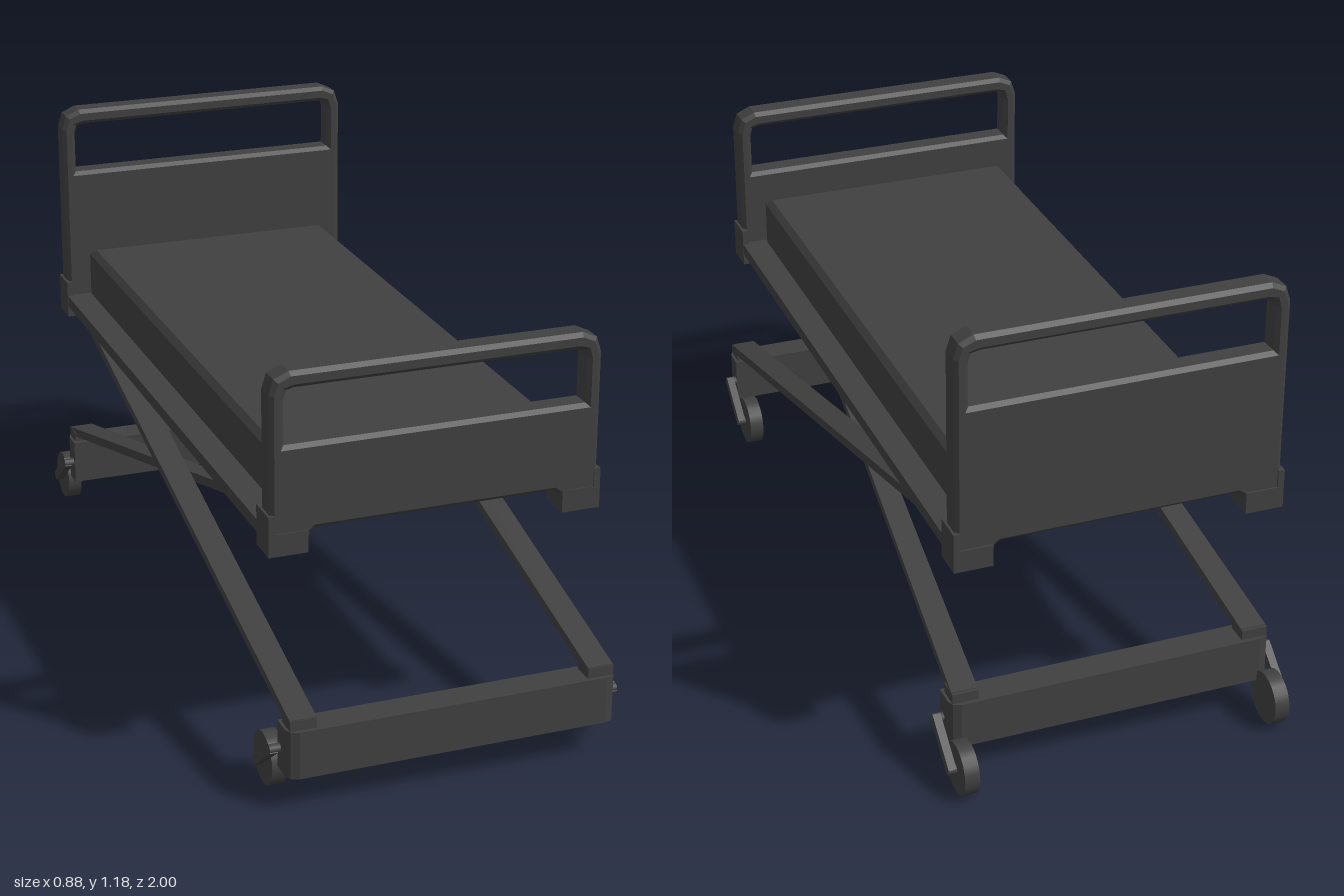
import * as THREE from 'three';

export function createModel() {
  const bed = new THREE.Group();
  bed.name = 'adjustableBed';
  const darkGrey = new THREE.MeshStandardMaterial({ color: 0x404040 });
  darkGrey.name = 'dark grey';

  const add = (name, geometry, x = 0, y = 0, z = 0) => {
    const mesh = new THREE.Mesh(geometry, darkGrey);
    mesh.name = name;
    mesh.position.set(x, y, z);
    bed.add(mesh);
    return mesh;
  };
  // Box given by its limits on each axis
  const block = (name, x0, x1, y0, y1, z0, z1) =>
    add(name, new THREE.BoxGeometry(x1 - x0, y1 - y0, z1 - z0),
      (x0 + x1) / 2, (y0 + y1) / 2, (z0 + z1) / 2);
  // Outline from its right half, mirrored to the left
  const mirrored = (half) => [...half, ...half.slice().reverse().map(([x, y]) => [-x, y])]
    .map(([x, y]) => new THREE.Vector2(x, y));
  // Extrusion with edges bevelled inside the outline
  const extrude = (shape, depth, bevel) => {
    const g = new THREE.ExtrudeGeometry(shape, {
      depth: depth - 2 * bevel, bevelEnabled: bevel > 0, bevelSize: bevel,
      bevelThickness: bevel, bevelOffset: -bevel, bevelSegments: 1,
    });
    g.translate(0, 0, bevel);
    return g;
  };

  // End boards with a handle opening and a notched bottom
  const endBoard = (name, top, z0, z1, b0, b1) => {
    const shape = new THREE.Shape(mirrored([
      [0.295, 0.645], [0.308, 0.635], [0.315, 0.59], [0.405, 0.59],
      [0.405, top - 0.053], [0.393, top - 0.016], [0.357, top],
    ]));
    shape.holes.push(new THREE.Path(mirrored([
      [0.37, top - 0.175], [0.37, top - 0.065], [0.364, top - 0.045], [0.345, top - 0.04],
    ])));
    add(name, extrude(shape, z1 - z0, 0.01), 0, 0, z0);
    // Corner brackets
    for (const s of [-1, 1]) {
      const xs = [s * 0.395, s * 0.411].sort((a, b) => a - b);
      block(name + 'SideBracket', xs[0], xs[1], 0.59, 0.69, b0, b1);
      const xf = [s * 0.315, s * 0.411].sort((a, b) => a - b);
      block(name + 'Foot', xf[0], xf[1], 0.59, 0.645, b0, b1);
    }
  };
  endBoard('footboard', 1.03, 0.795, 0.862, 0.783, 0.865);
  endBoard('headboard', 1.18, -0.905, -0.84, -0.91, -0.83);

  // Platform with side rails
  block('platform', -0.39, 0.39, 0.628, 0.65, -0.84, 0.795);
  for (const x of [-0.41, 0.385]) block('sideRail', x, x + 0.025, 0.62, 0.651, -0.835, 0.785);

  // Mattress with chamfered edges
  const plan = new THREE.Shape([[-0.345, -0.77], [0.345, -0.77], [0.345, 0.82], [-0.345, 0.82]]
    .map(([x, y]) => new THREE.Vector2(x, y)));
  add('mattress', extrude(plan, 0.145, 0.015).rotateX(-Math.PI / 2), 0, 0.64, 0);

  // Scissor arm: a box stretched between two ends, tapering in width
  const arm = (name, side, a, b) => {
    const g = new THREE.BoxGeometry(1, 1, 1);
    const p = g.attributes.position;
    for (let i = 0; i < p.count; i++) {
      const t = p.getZ(i) + 0.5;
      const mix = (k) => THREE.MathUtils.lerp(a[k], b[k], t);
      p.setXYZ(i, side * mix('x') + p.getX(i) * mix('w'), mix('y') + p.getY(i) * 0.024, mix('z'));
    }
    g.computeVertexNormals();
    add(name, g);
  };
  for (const s of [-1, 1]) {
    arm('outerScissorArm', s,
      { x: 0.3725, w: 0.065, y: 0.628, z: -0.65 }, { x: 0.3725, w: 0.065, y: 0.225, z: 0.985 });
    arm('innerScissorArm', s,
      { x: 0.3725, w: 0.065, y: 0.225, z: -0.872 }, { x: 0.2675, w: 0.045, y: 0.628, z: 0.77 });
  }

  // Base beams with clipped outer corners, arm shoes and trailing castors
  const base = (name, z0, z1, out, wheelZ, forkZ) => {
    const inner = out > 0 ? z0 : z1;
    const outer = out > 0 ? z1 : z0;
    const half = [[0.412, inner], [0.412, outer - out * 0.025],
      [0.405, outer - out * 0.008], [0.385, outer]].map(([x, z]) => [x, -z]);
    const g = extrude(new THREE.Shape(mirrored(half)), 0.12, 0).rotateX(-Math.PI / 2);
    add(name + 'Beam', g, 0, 0.09, 0);
    for (const s of [-1, 1]) {
      block(name + 'ArmShoe', s * 0.3725 - 0.0325, s * 0.3725 + 0.0325, 0.205, 0.235,
        out > 0 ? z1 - 0.065 : z0 + 0.01, out > 0 ? z1 - 0.01 : z0 + 0.065);
      const wheel = new THREE.CylinderGeometry(0.066, 0.066, 0.037, 20).rotateZ(Math.PI / 2);
      add(name + 'Wheel', wheel, s * 0.399, 0.066, wheelZ);
      // Fork beside the wheel, with its axle and pivot
      const dy = 0.145 - 0.066, dz = forkZ - wheelZ;
      const fork = add(name + 'Fork', new THREE.BoxGeometry(0.02, 0.025, Math.hypot(dy, dz) + 0.012),
        s * 0.429, (0.145 + 0.066) / 2, (forkZ + wheelZ) / 2);
      fork.rotation.x = -Math.atan2(dy, dz);
      const pin = new THREE.CylinderGeometry(0.0125, 0.0125, 0.04, 10).rotateZ(Math.PI / 2);
      add(name + 'Axle', pin, s * 0.419, 0.066, wheelZ);
      add(name + 'Pivot', pin, s * 0.419, 0.145, forkZ);
    }
  };
  base('front', 0.922, 0.998, 1, 0.835, 0.935);
  base('back', -0.89, -0.812, -1, -0.932, -0.832);

  return bed;
}
